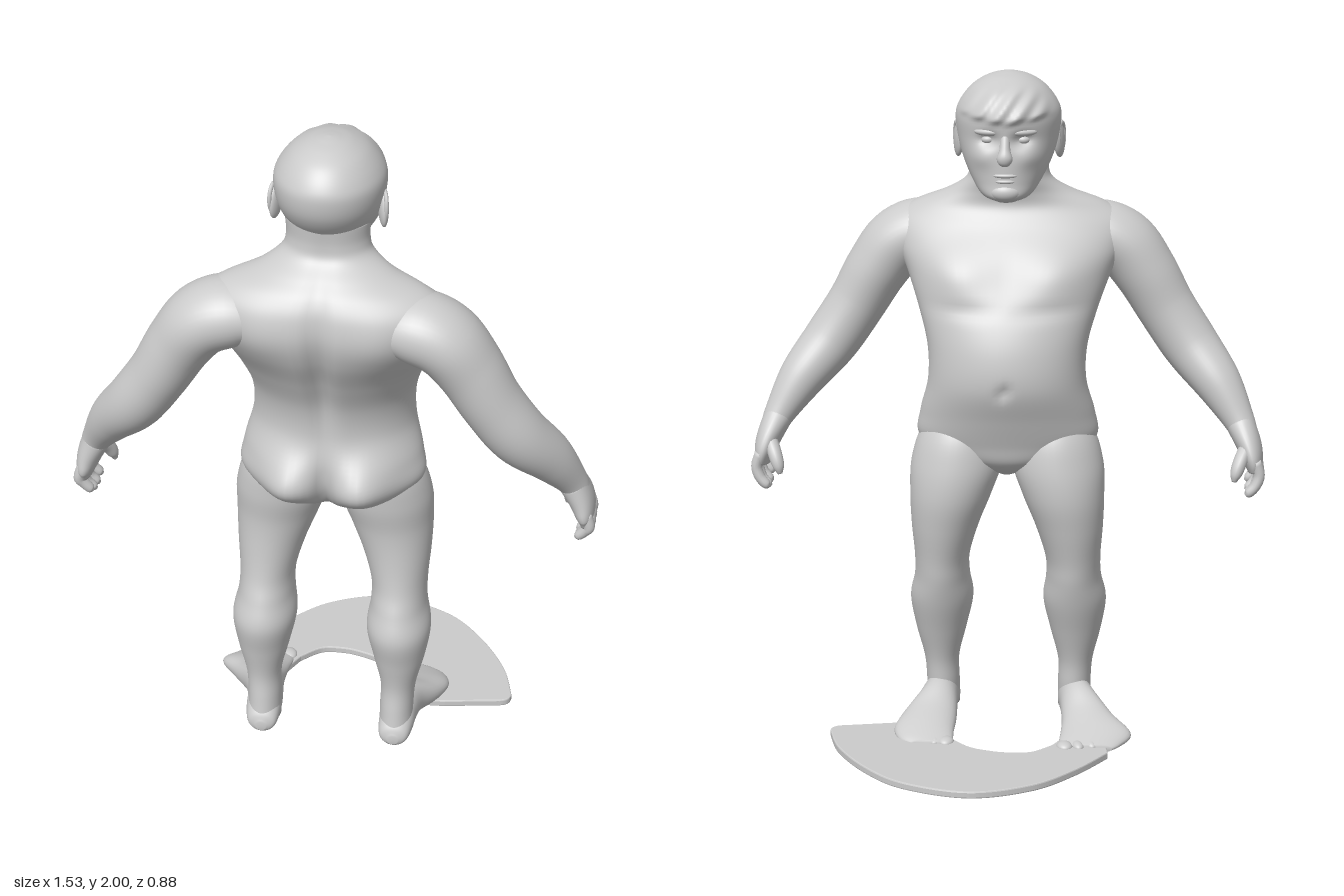
import * as THREE from 'three';

const skin = new THREE.MeshStandardMaterial({ color: 0xcccccc });
const gauss = (v, c, w) => Math.exp(-(((v - c) / w) ** 2));
const ramp = THREE.MathUtils.smoothstep;
const Y = new THREE.Vector3(0, 1, 0), Z = new THREE.Vector3(0, 0, 1);

// Smooth closed loft through sections [x, y, z, radiusAcross, radiusAlongRef].
// "fixed" keeps every ring perpendicular to one direction.
function loft(sections, { ref = Z, fixed = null, segs = 32, steps = 6, rule = null } = {}) {
  const spline = pts => new THREE.CatmullRomCurve3(pts, false, 'catmullrom', 0.5);
  const path = spline(sections.map(s => new THREE.Vector3(s[0], s[1], s[2])));
  const size = spline(sections.map(s => new THREE.Vector3(s[3], s[4], 0)));
  const rows = (sections.length - 1) * steps;
  const pos = [], index = [];
  for (let i = 0; i <= rows; i++) {
    const c = path.getPoint(i / rows), r = size.getPoint(i / rows);
    const t = fixed ?? path.getTangent(i / rows);
    const u = new THREE.Vector3().crossVectors(ref, t).normalize();
    const v = new THREE.Vector3().crossVectors(t, u);
    for (let j = 0; j < segs; j++) {
      const a = (j / segs) * Math.PI * 2;
      const p = c.clone().addScaledVector(u, Math.cos(a) * r.x).addScaledVector(v, Math.sin(a) * r.y);
      if (rule) rule(p);
      pos.push(p.x, p.y, p.z);
      const k = (j + 1) % segs, b = i * segs;
      if (i < rows) index.push(b + j, b + k, b + segs + k, b + j, b + segs + k, b + segs + j);
    }
  }
  // end caps
  [[0, 0], [1, rows]].forEach(([t, row]) => {
    const c = path.getPoint(t), n = pos.length / 3, b = row * segs;
    if (rule) rule(c);
    pos.push(c.x, c.y, c.z);
    for (let j = 0; j < segs; j++) {
      const k = (j + 1) % segs;
      if (t) index.push(n, b + j, b + k); else index.push(n, b + k, b + j);
    }
  });
  const g = new THREE.BufferGeometry();
  g.setAttribute('position', new THREE.Float32BufferAttribute(pos, 3));
  g.setIndex(index);
  g.computeVertexNormals();
  return g;
}

export function createModel() {
  const model = new THREE.Group();
  const add = (name, geometry, parent = model) => {
    const m = new THREE.Mesh(geometry, skin);
    m.name = name;
    parent.add(m);
    return m;
  };
  const blob = (name, p, r, parent = model, rot = [0, 0, 0]) => {
    const m = add(name, new THREE.SphereGeometry(1, 28, 20), parent);
    m.position.set(...p);
    m.scale.set(...r);
    m.rotation.set(...rot);
  };
  const mirror = (s, sections) => sections.map(([x, ...rest]) => [s * x, ...rest]);
  const stack = rows => rows.map(([y, z, rx, rz]) => [0, y, z, rx, rz]);

  // torso and neck: back, buttocks, chest and navel shaped by a rule
  add('torso', loft(stack([
    [0.815, 0.125, 0.03, 0.05], [0.86, 0.14, 0.18, 0.118], [0.92, 0.15, 0.264, 0.15],
    [1.0, 0.138, 0.259, 0.168], [1.1, 0.115, 0.234, 0.18], [1.2, 0.125, 0.235, 0.185],
    [1.3, 0.165, 0.262, 0.19], [1.4, 0.22, 0.3, 0.187], [1.48, 0.255, 0.335, 0.175],
    [1.55, 0.28, 0.345, 0.145], [1.6, 0.283, 0.285, 0.118], [1.64, 0.262, 0.19, 0.1],
    [1.68, 0.232, 0.13, 0.086], [1.72, 0.222, 0.115, 0.086], [1.78, 0.222, 0.118, 0.09],
  ]), {
    fixed: Y, segs: 80, steps: 7, rule: p => {
      const x = Math.abs(p.x), y = p.y;
      const back = ramp(p.z, 0.15, 0.25), front = 1 - ramp(p.z, 0.1, 0.22);
      p.z += back * (0.016 * gauss(x, 0.18, 0.09) * gauss(y, 1.47, 0.1)
        - 0.03 * gauss(x, 0, 0.03) * gauss(y, 1.35, 0.25)
        + 0.068 * gauss(x, 0.11, 0.085) * gauss(y, 0.945, 0.085)
        - 0.03 * gauss(x, 0, 0.022) * gauss(y, 0.93, 0.09));
      p.z += front * (0.014 * gauss(x, 0, 0.016) * gauss(y, 1.1, 0.02)
        - 0.028 * gauss(x, 0.16, 0.1) * gauss(y, 1.42, 0.07)
        + 0.008 * gauss(x, 0.12, 0.09) * gauss(y, 1.325, 0.022));
    },
  }));

  // head, facing -z: eye sockets, cheeks and swept hair shaped by a rule
  const head = new THREE.Group();
  head.name = 'head';
  model.add(head);
  add('skull', loft(stack([
    [1.642, 0.075, 0.03, 0.04], [1.66, 0.085, 0.07, 0.083], [1.7, 0.115, 0.1, 0.112],
    [1.76, 0.154, 0.13, 0.152], [1.82, 0.177, 0.147, 0.174], [1.88, 0.182, 0.153, 0.183],
    [1.92, 0.184, 0.139, 0.17], [1.96, 0.187, 0.106, 0.134], [1.985, 0.192, 0.066, 0.083],
    [1.996, 0.195, 0.03, 0.036], [2.0, 0.195, 0.004, 0.004],
  ]), {
    fixed: Y, segs: 96, steps: 8, rule: p => {
      const x = Math.abs(p.x), front = 1 - ramp(p.z, 0.05, 0.13);
      const hair = ramp(p.y, 1.862 + 0.15 * x, 1.885 + 0.15 * x) * (1 - ramp(p.y, 1.95, 1.995));
      p.z += front * (0.02 * gauss(x, 0.05, 0.028) * gauss(p.y, 1.825, 0.02)
        - 0.01 * gauss(x, 0.07, 0.035) * gauss(p.y, 1.775, 0.03)
        - hair * (0.011 + 0.005 * Math.sin((p.x + (p.y - 1.9) * 0.7) * 110)));
    },
  }));
  add('nose', loft([
    [0, 1.84, 0.018, 0.013, 0.014], [0, 1.8, 0.002, 0.016, 0.018],
    [0, 1.775, -0.005, 0.023, 0.021], [0, 1.76, 0.004, 0.014, 0.013],
  ], { segs: 20 }), head);
  blob('upperLip', [0, 1.725, 0.016], [0.038, 0.009, 0.018], head);
  blob('lowerLip', [0, 1.708, 0.017], [0.033, 0.009, 0.018], head);
  blob('chin', [0, 1.675, 0.026], [0.045, 0.028, 0.03], head);
  for (const s of [-1, 1]) {
    blob('eye', [s * 0.05, 1.825, 0.036], [0.019, 0.012, 0.014], head);
    blob('brow', [s * 0.05, 1.848, 0.028], [0.042, 0.012, 0.018], head, [0, -s * 0.3, 0]);
    blob('ear', [s * 0.146, 1.8, 0.2], [0.014, 0.055, 0.032], head, [-0.2, s * 0.3, s * 0.08]);
    const rim = add('earRim', new THREE.TorusGeometry(0.026, 0.006, 8, 24), head);
    rim.position.set(s * 0.152, 1.808, 0.203);
    rim.scale.set(1, 1.5, 1);
    rim.rotation.y = s * (Math.PI / 2 + 0.3);
  }

  for (const s of [-1, 1]) {
    const side = s > 0 ? 'left' : 'right';

    // leg
    add(side + 'Leg', loft(mirror(s, [
      [0.125, 1.04, 0.155, 0.05, 0.06], [0.14, 0.95, 0.14, 0.112, 0.118], [0.15, 0.85, 0.126, 0.136, 0.132],
      [0.168, 0.75, 0.115, 0.122, 0.127], [0.186, 0.65, 0.123, 0.101, 0.119], [0.197, 0.55, 0.14, 0.083, 0.114],
      [0.199, 0.48, 0.158, 0.083, 0.12], [0.202, 0.4, 0.18, 0.095, 0.12], [0.205, 0.3, 0.188, 0.077, 0.092],
      [0.205, 0.2, 0.195, 0.053, 0.068], [0.202, 0.12, 0.203, 0.05, 0.067], [0.202, 0.04, 0.215, 0.05, 0.066],
    ]), { fixed: new THREE.Vector3(0, -1, 0), segs: 40 }));

    // foot; the right one is turned further out
    const out = s > 0 ? 0 : 1;
    add(side + 'Foot', loft(mirror(s, [
      [0.202, 0.035, 0.287, 0.015, 0.015], [0.202, 0.045, 0.272, 0.042, 0.036], [0.204, 0.06, 0.23, 0.052, 0.06],
      [0.207, 0.07, 0.18, 0.054, 0.072],
      [0.213 + out * 0.01, 0.068, 0.12, 0.061, 0.067], [0.232 + out * 0.02, 0.045, 0.05, 0.082, 0.052],
      [0.243 + out * 0.032, 0.032, -0.015, 0.09 + out * 0.016, 0.037],
      [0.233 + out * 0.026, 0.022, -0.07, 0.08 + out * 0.013, 0.023],
      [0.22 + out * 0.03, 0.018, -0.1, 0.055 + out * 0.02, 0.014],
    ]), { ref: Y, fixed: new THREE.Vector3(0, 0, -1), rule: p => { p.y = Math.max(p.y, 0.004); } }));
    for (let i = 0; i < 5; i++) {
      blob(side + 'Toe', [s * (0.172 + out * 0.012 + i * (0.032 + out * 0.007)), 0.023, -0.08 - out * 0.015 + i * i * 0.004],
        [i ? 0.018 : 0.024, 0.015, 0.028], model, [0, -s * (0.1 + out * 0.2), 0]);
    }

    // arm, starting inside the shoulder
    add(side + 'Arm', loft(mirror(s, [
      [0.12, 1.49, 0.3, 0.05, 0.08], [0.235, 1.505, 0.305, 0.095, 0.115], [0.33, 1.475, 0.308, 0.1, 0.12],
      [0.4, 1.39, 0.302, 0.094, 0.108], [0.465, 1.28, 0.298, 0.087, 0.096], [0.54, 1.17, 0.278, 0.084, 0.09],
      [0.622, 1.07, 0.222, 0.07, 0.075], [0.685, 0.97, 0.175, 0.047, 0.05], [0.708, 0.92, 0.16, 0.038, 0.05],
    ]), { segs: 40 }));

    // hand
    const hand = new THREE.Group();
    hand.name = side + 'Hand';
    model.add(hand);
    add('palm', loft(mirror(s, [
      [0.685, 0.97, 0.175, 0.044, 0.046], [0.715, 0.905, 0.152, 0.038, 0.072],
      [0.729, 0.86, 0.143, 0.031, 0.08], [0.734, 0.825, 0.14, 0.02, 0.066],
    ])), hand);
    for (let i = 0; i < 4; i++) {
      const z = 0.085 + i * 0.037, low = [0.008, 0, 0.004, 0.022][i];
      add('finger', loft(mirror(s, [
        [0.735, 0.865, z, 0.017, 0.019], [0.747, 0.825, z, 0.017, 0.019],
        [0.738, 0.785 + low, z - 0.004, 0.016, 0.018], [0.718, 0.762 + low, z - 0.008, 0.014, 0.015],
        [0.709, 0.755 + low, z - 0.009, 0.005, 0.006],
      ]), { segs: 14, steps: 4 }), hand);
    }
    add('thumb', loft(mirror(s, [
      [0.712, 0.91, 0.12, 0.02, 0.024], [0.692, 0.87, 0.08, 0.021, 0.023],
      [0.679, 0.835, 0.062, 0.018, 0.019], [0.673, 0.81, 0.057, 0.007, 0.008],
    ]), { segs: 14 }), hand);
  }

  // flat curved base plate under the feet, drawn in x and -z
  const points = list => list.map(p => new THREE.Vector2(...p));
  const plate = new THREE.Shape();
  plate.moveTo(-0.3, 0.03);
  plate.lineTo(-0.31, 0.135);
  plate.splineThru(points([[-0.22, 0.265], [-0.1, 0.382], [0.077, 0.444], [0.27, 0.39],
    [0.39, 0.285], [0.485, 0.14], [0.525, 0.01]]));
  plate.quadraticCurveTo(0.525, -0.02, 0.49, -0.024);
  plate.lineTo(0.33, -0.055);
  plate.lineTo(0.27, -0.06);
  plate.lineTo(0.16, 0.06);
  plate.splineThru(points([[0.1, 0.12], [0.04, 0.145], [-0.02, 0.155], [-0.09, 0.145], [-0.15, 0.09]]));
  plate.lineTo(-0.18, 0.03);
  const plateGeometry = new THREE.ExtrudeGeometry(plate, {
    depth: 0.014, bevelEnabled: true, bevelSize: 0.004, bevelThickness: 0.004, bevelSegments: 2, curveSegments: 12,
  });
  plateGeometry.rotateX(-Math.PI / 2);
  add('basePlate', plateGeometry).position.y = 0.006;

  return model;
}
